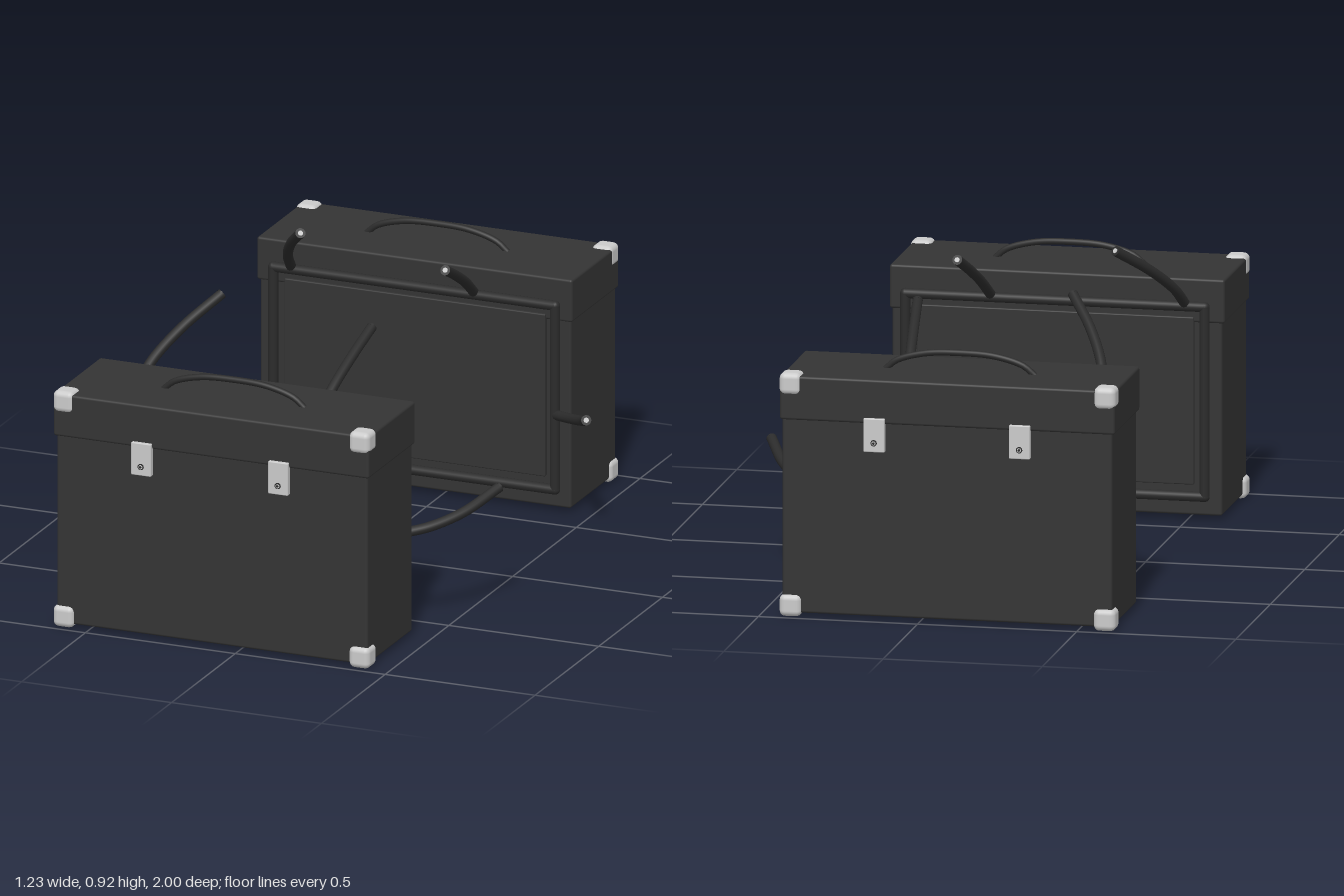
import * as THREE from 'three';
import { RoundedBoxGeometry } from 'three/addons/geometries/RoundedBoxGeometry.js';

const caseMat = new THREE.MeshStandardMaterial({ color: 0x343434 });
caseMat.name = 'black vinyl';
const rubberMat = new THREE.MeshStandardMaterial({ color: 0x2b2b2b });
rubberMat.name = 'dark rubber';
const metalMat = new THREE.MeshStandardMaterial({ color: 0xcacaca });
metalMat.name = 'light metal';

const V = (x, y, z) => new THREE.Vector3(x, y, z);

function add(parent, name, geometry, material, x = 0, y = 0, z = 0) {
  const mesh = new THREE.Mesh(geometry, material);
  mesh.name = name;
  mesh.position.set(x, y, z);
  parent.add(mesh);
  return mesh;
}

// Rounded box given by its minimum and maximum on each axis
function box(parent, name, material, [x0, x1], [y0, y1], [z0, z1], r) {
  const geometry = new RoundedBoxGeometry(x1 - x0, y1 - y0, Math.abs(z1 - z0), 3, r);
  return add(parent, name, geometry, material, (x0 + x1) / 2, (y0 + y1) / 2, (z0 + z1) / 2);
}

// Disc-ended cylinder pointing along a direction
function plug(parent, name, material, r, length, center, direction) {
  const mesh = add(parent, name, new THREE.CylinderGeometry(r, r, length, 16), material, center.x, center.y, center.z);
  mesh.quaternion.setFromUnitVectors(V(0, 1, 0), direction);
  return mesh;
}

// Loose cable with a closed end and a bare metal core
function cable(parent, points, r) {
  const curve = new THREE.CatmullRomCurve3(points);
  add(parent, 'cable', new THREE.TubeGeometry(curve, 24, r, 12), rubberMat);
  const end = curve.getPoint(1), dir = curve.getTangent(1);
  plug(parent, 'cableEnd', rubberMat, r, 0.006, end, dir);
  plug(parent, 'cableCore', metalMat, r * 0.5, 0.01, end, dir);
}

// One case; s = 1 faces the front, s = -1 is its mirror behind
function makeCase(s) {
  const g = new THREE.Group();
  g.name = s > 0 ? 'frontCase' : 'backCase';

  box(g, 'body', caseMat, [-0.606, 0.43], [0.015, 0.70], [s * 0.622, s * 0.975], 0.008);
  box(g, 'lid', caseMat, [-0.615, 0.437], [0.622, 0.76], [s * 0.615, s * 0.981], 0.008);

  // Metal corner protectors on the outer face
  for (const x of [-0.617, 0.37])
    for (const y of [0.003, 0.70])
      box(g, 'cornerProtector', metalMat, [x, x + 0.069], [y, y + 0.069], [s * 0.917, s * 0.987], 0.018);

  // Latches with a small screw
  for (const x of [-0.318, 0.139]) {
    box(g, 'latch', metalMat, [x - 0.033, x + 0.033], [0.535, 0.64], [s * 0.97, s * 0.993], 0.003);
    plug(g, 'screwRim', rubberMat, 0.01, 0.004, V(x, 0.564, s * 0.993), V(0, 0, 1));
    plug(g, 'screwFace', metalMat, 0.0065, 0.004, V(x, 0.564, s * 0.995), V(0, 0, 1));
    plug(g, 'screwHole', rubberMat, 0.004, 0.004, V(x, 0.564, s * 0.9965), V(0, 0, 1));
  }

  // Carrying handle
  const arch = new THREE.CatmullRomCurve3([
    [-0.325, 0.755], [-0.29, 0.784], [-0.2, 0.81], [-0.09, 0.816], [0.02, 0.81], [0.11, 0.784], [0.145, 0.755],
  ].map(([x, y]) => V(x, y, s * 0.797)));
  add(g, 'handle', new THREE.TubeGeometry(arch, 32, 0.01, 10), rubberMat);

  // Piping and raised panel on the inner face
  const x0 = -0.555, x1 = 0.385, y0 = 0.078, y1 = 0.675, zf = s * 0.603;
  const piping = (length) => new THREE.CapsuleGeometry(0.016, length, 6, 12);
  for (const x of [x0, x1]) add(g, 'sidePiping', piping(y1 - y0), rubberMat, x, (y0 + y1) / 2, zf);
  for (const y of [y0, y1])
    add(g, 'crossPiping', piping(x1 - x0), rubberMat, (x0 + x1) / 2, y, zf).rotation.z = Math.PI / 2;
  box(g, 'innerPanel', caseMat, [x0 + 0.035, x1 - 0.035], [y0 + 0.035, y1 - 0.035], [s * 0.607, s * 0.63], 0.004);

  // Three loose cables
  cable(g, [V(-0.495, 0.68, s * 0.605), V(-0.475, 0.745, s * 0.53), V(-0.42, 0.825, s * 0.425), V(-0.34, 0.905, s * 0.31)], 0.016);
  cable(g, [V(0.115, 0.68, s * 0.605), V(0.127, 0.745, s * 0.51), V(0.14, 0.805, s * 0.40), V(0.153, 0.858, s * 0.29)], 0.016);
  cable(g, [V(0.385, 0.32, s * 0.605), V(0.46, 0.335, s * 0.55), V(0.535, 0.365, s * 0.465), V(0.6, 0.415, s * 0.342)], 0.016);
  return g;
}

export function createModel() {
  const model = new THREE.Group();
  model.name = 'pairedCases';
  model.add(makeCase(1), makeCase(-1));
  return model;
}
